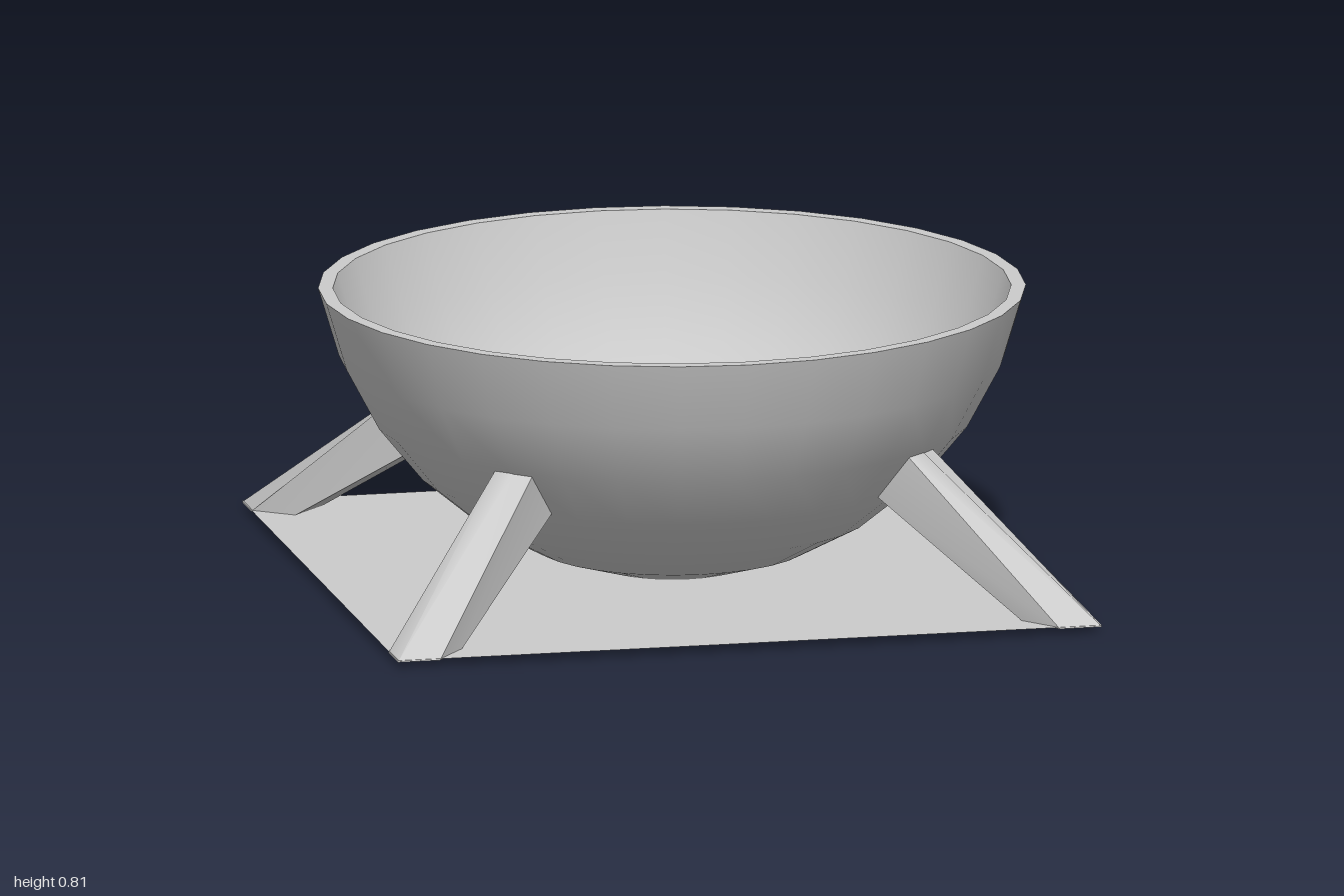
import * as THREE from 'three';
import { toCreasedNormals } from 'three/addons/utils/BufferGeometryUtils.js';

const SEGMENTS = 32;
const RIM_Y = 0.81;

// Profile of a spherical bowl centred at y = 1, from the bottom pole to the rim
function bowlProfile(radius) {
  const points = [];
  const end = Math.acos((1 - RIM_Y) / radius);
  const step = Math.PI / 16;
  for (let a = 0; a < end - 0.02; a += step) {
    points.push(new THREE.Vector2(radius * Math.sin(a), 1 - radius * Math.cos(a)));
  }
  points.push(new THREE.Vector2(radius * Math.sin(end), RIM_Y));
  return points;
}

// Solid lofted between two loops of [outward, sideways, height] points
function loft(bottom, top) {
  const positions = [];
  const n = bottom.length;
  const tri = (...corners) => corners.forEach(([s, w, y]) => positions.push(s, y, w));
  for (let i = 0; i < n; i++) {
    const j = (i + 1) % n;
    tri(bottom[i], top[i], top[j]);
    tri(bottom[i], top[j], bottom[j]);
    if (i > 0 && i < n - 1) {
      tri(top[0], top[j], top[i]);
      tri(bottom[0], bottom[i], bottom[j]);
    }
  }
  const geometry = new THREE.BufferGeometry();
  geometry.setAttribute('position', new THREE.Float32BufferAttribute(positions, 3));
  return toCreasedNormals(geometry, 0.9);
}

export function createModel() {
  const model = new THREE.Group();
  const material = new THREE.MeshStandardMaterial({ color: 0xcccccc });
  const thin = new THREE.MeshStandardMaterial({ color: 0xcccccc, side: THREE.DoubleSide });
  const add = (parent, name, geometry, mat = material) => {
    const mesh = new THREE.Mesh(geometry, mat);
    mesh.name = name;
    parent.add(mesh);
    return mesh;
  };

  // Bowl: outer shell, inner shell and flat rim, kept apart for crisp edges
  const bowl = new THREE.Group();
  bowl.name = 'bowl';
  model.add(bowl);
  const outer = bowlProfile(1);
  const inner = bowlProfile(0.96);
  add(bowl, 'bowlOutside', new THREE.LatheGeometry(outer, SEGMENTS));
  add(bowl, 'bowlInside', new THREE.LatheGeometry([...inner].reverse(), SEGMENTS));
  add(bowl, 'bowlRim', new THREE.LatheGeometry([outer.at(-1), inner.at(-1)], SEGMENTS));

  // Thin ground sheet, with the bottom of the bowl poking through
  const sheet = add(model, 'basePlate', new THREE.PlaneGeometry(2, 2), thin);
  sheet.rotation.x = -Math.PI / 2;
  sheet.position.y = 0.022;

  // Four slanted legs from the plate corners through the bowl wall
  const foot = [[1.414, 0, 0.018], [1.33, 0.085, 0.018], [1.2, 0.07, 0.018],
    [1.2, -0.07, 0.018], [1.33, -0.085, 0.018]];
  const head = [[0.8, 0, 0.46], [0.79, 0.06, 0.46], [0.7, 0.06, 0.32],
    [0.7, -0.06, 0.32], [0.79, -0.06, 0.46]];
  const legGeometry = loft(foot, head);
  ['backLeftLeg', 'backRightLeg', 'frontRightLeg', 'frontLeftLeg'].forEach((name, i) => {
    add(model, name, legGeometry).rotation.y = Math.PI / 4 + i * Math.PI / 2;
  });

  return model;
}
